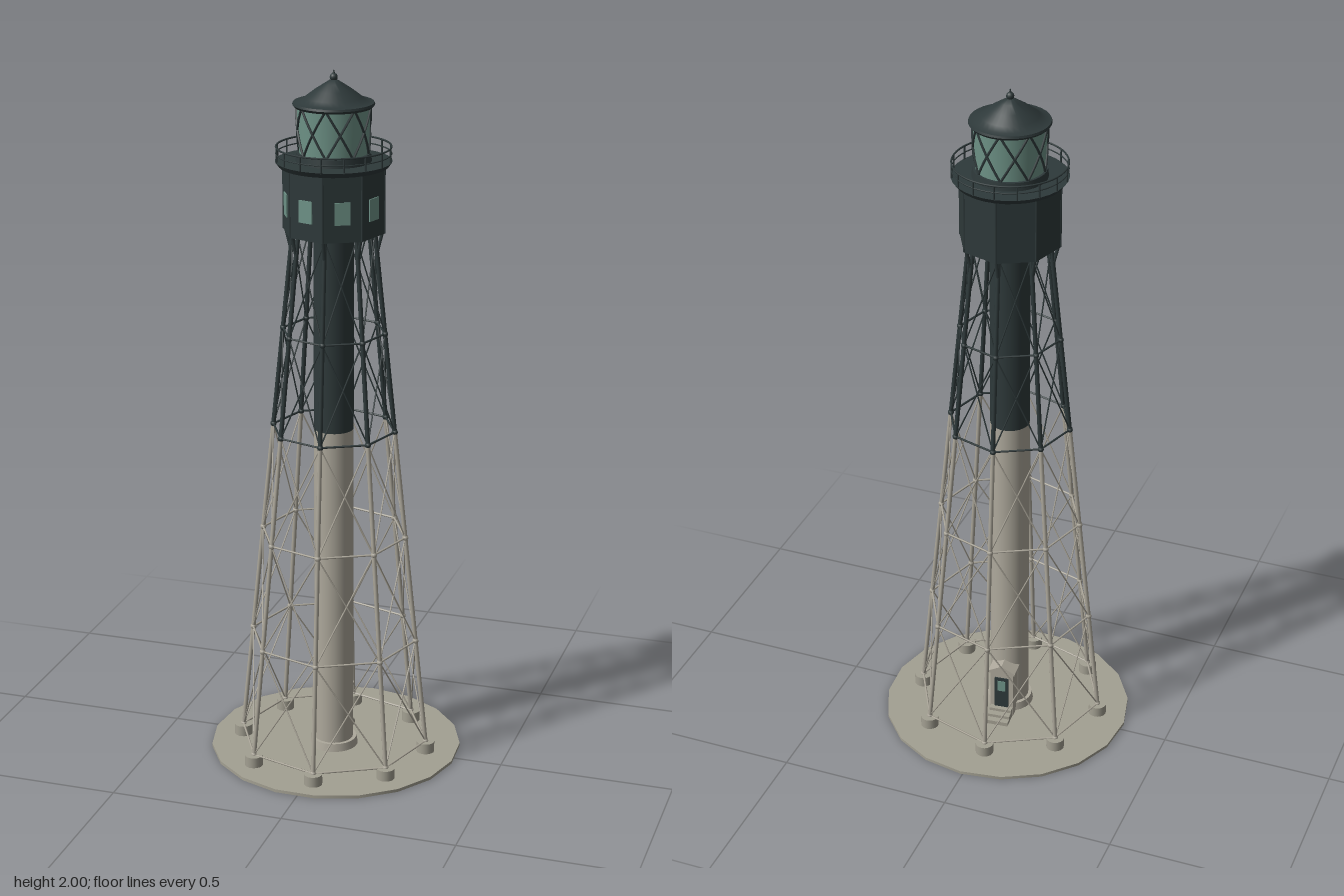
import * as THREE from 'three';
import { toCreasedNormals } from 'three/addons/utils/BufferGeometryUtils.js';

const mat = (name, color) => {
  const m = new THREE.MeshStandardMaterial({ color });
  m.name = name;
  return m;
};

export function createModel() {
  const sand = mat('ground sand', 0xa3a092);
  const pale = mat('pale paint', 0xaea99c);
  const dark = mat('dark paint', 0x2e393a);
  const glass = mat('glass', 0x6f9488);

  const model = new THREE.Group();
  model.name = 'skeletonLighthouse';
  const tower = new THREE.Group();
  tower.name = 'tower';
  tower.position.z = 0.02;
  tower.rotation.y = THREE.MathUtils.degToRad(5.3);
  model.add(tower);

  const add = (parent, name, geo, material, x = 0, y = 0, z = 0) => {
    const mesh = new THREE.Mesh(geo, material);
    mesh.name = name;
    mesh.position.set(x, y, z);
    parent.add(mesh);
    return mesh;
  };
  const subgroup = (name, parent = tower) => {
    const g = new THREE.Group();
    g.name = name;
    parent.add(g);
    return g;
  };
  // point at radius r, angle a and height y
  const polar = (r, a, y) => new THREE.Vector3(r * Math.cos(a), y, r * Math.sin(a));
  // round bar between two points
  const up = new THREE.Vector3(0, 1, 0);
  const bar = (parent, name, a, b, r, material, sides = 6) => {
    const d = b.clone().sub(a);
    const mesh = add(parent, name, new THREE.CylinderGeometry(r, r, d.length(), sides), material);
    mesh.position.copy(a).add(b).multiplyScalar(0.5);
    mesh.quaternion.setFromUnitVectors(up, d.normalize());
    return mesh;
  };
  // upright drum standing between two heights
  const drum = (parent, name, rTop, rBottom, y0, y1, sides, material) =>
    add(parent, name, new THREE.CylinderGeometry(rTop, rBottom, y1 - y0, sides), material, 0, (y0 + y1) / 2, 0);
  const lathe = (parent, name, points, material, sides = 32) => {
    const geo = new THREE.LatheGeometry(points.map(p => new THREE.Vector2(...p)), sides);
    return add(parent, name, toCreasedNormals(geo, 0.6), material);
  };

  // ground disc
  drum(model, 'ground', 0.364, 0.364, 0, 0.009, 19, sand).rotation.y = THREE.MathUtils.degToRad(8.5);

  // central stair column, pale below and dark above
  drum(tower, 'columnFoot', 0.066, 0.07, 0.009, 0.032, 24, pale);
  drum(tower, 'columnLower', 0.056, 0.056, 0.009, 0.985, 24, pale);
  drum(tower, 'columnUpper', 0.056, 0.056, 0.985, 1.56, 24, dark);

  // eight braced legs in five tiers
  const STEP = Math.PI / 4;
  const levels = [0.04, 0.355, 0.67, 0.985, 1.27, 1.555];
  const legRadius = y => 0.277 - 0.104 * y;
  const frame = subgroup('legFrame');
  for (let k = 0; k < 8; k++) {
    const a = k * STEP, b = a + STEP;
    const foot = polar(0.273, a, 0.024);
    add(frame, 'footPad', new THREE.CylinderGeometry(0.026, 0.026, 0.032, 20), sand, foot.x, foot.y, foot.z);
    levels.forEach((y, i) => {
      const material = i < 3 ? pale : dark;
      const r = legRadius(y);
      const p = polar(r, a, y), q = polar(r, b, y);
      bar(frame, 'ringStrut', p, q, 0.003, material);
      add(frame, 'joint', new THREE.SphereGeometry(0.009, 8, 6), material, p.x, p.y, p.z);
      if (i === levels.length - 1) return;
      const y1 = levels[i + 1], r1 = legRadius(y1);
      const p1 = polar(r1, a, y1), q1 = polar(r1, b, y1);
      bar(frame, 'leg', p, p1, 0.0065, material, 8);
      bar(frame, 'brace', p, q1, 0.0022, material, 5);
      bar(frame, 'brace', q, p1, 0.0022, material, 5);
    });
    // bracket under the watch room
    bar(frame, 'bracket', polar(legRadius(1.5), a, 1.5), polar(0.135, a, 1.557), 0.005, dark);
  }

  // entrance porch with gable roof, door and steps at the back
  const porch = subgroup('porch');
  add(porch, 'porchWalls', new THREE.BoxGeometry(0.07, 0.15, 0.05), pale, 0, 0.084, -0.063);
  const gable = new THREE.Shape([[-0.041, 0], [0.041, 0], [0.041, 0.006], [0, 0.028], [-0.041, 0.006]]
    .map(p => new THREE.Vector2(...p)));
  add(porch, 'porchRoof', new THREE.ExtrudeGeometry(gable, { depth: 0.055, bevelEnabled: false }), pale, 0, 0.159, -0.093);
  add(porch, 'door', new THREE.BoxGeometry(0.042, 0.105, 0.006), dark, 0, 0.09, -0.089);
  add(porch, 'doorPane', new THREE.BoxGeometry(0.024, 0.035, 0.004), glass, 0, 0.115, -0.092);
  for (let i = 0; i < 3; i++) {
    const h = 0.03 - i * 0.009;
    add(porch, 'step', new THREE.BoxGeometry(0.066, h, 0.019), sand, 0, 0.009 + h / 2, -0.0965 - i * 0.019);
  }

  // octagonal watch room with windows on the four front sides
  const room = subgroup('watchRoom');
  const walls = new THREE.CylinderGeometry(0.142, 0.142, 0.185, 8).toNonIndexed();
  walls.computeVertexNormals();
  add(room, 'roomWalls', walls, dark, 0, 1.6475, 0);
  for (let k = 0; k < 4; k++) {
    const a = (k + 0.5) * STEP;
    const p = polar(0.1315, a, 1.635);
    add(room, 'window', new THREE.BoxGeometry(0.043, 0.062, 0.006), glass, p.x, p.y, p.z).rotation.y = Math.PI / 2 - a;
  }
  for (let k = 0; k < 8; k++) {
    bar(room, 'cornerTrim', polar(0.141, k * STEP, 1.556), polar(0.141, k * STEP, 1.74), 0.003, dark);
  }

  // gallery deck and railing
  const gallery = subgroup('gallery');
  drum(gallery, 'deck', 0.16, 0.15, 1.738, 1.752, 32, dark);
  [[1.772, 0.0018], [1.791, 0.0026]].forEach(([y, t]) => {
    add(gallery, 'rail', new THREE.TorusGeometry(0.157, t, 6, 48), dark, 0, y, 0).rotation.x = Math.PI / 2;
  });
  for (let k = 0; k < 16; k++) {
    const a = k * STEP / 2;
    bar(gallery, 'railPost', polar(0.157, a, 1.75), polar(0.157, a, 1.791), 0.0026, dark);
  }

  // lantern with a diamond lattice
  const lantern = subgroup('lantern');
  drum(lantern, 'lanternBase', 0.101, 0.104, 1.75, 1.775, 32, dark);
  drum(lantern, 'lanternGlass', 0.1, 0.094, 1.775, 1.905, 32, glass);
  for (let k = 0; k < 8; k++) {
    for (const dir of [-1, 1]) {
      const points = [];
      for (let i = 0; i <= 6; i++) {
        const t = i / 6;
        points.push(polar(0.096 + 0.006 * t, (k + dir * t) * STEP, 1.773 + 0.134 * t));
      }
      add(lantern, 'latticeBar', new THREE.TubeGeometry(new THREE.CatmullRomCurve3(points), 8, 0.0036, 5), dark);
    }
  }

  // flared roof with ball and spike
  lathe(lantern, 'roof', [[0, 1.9], [0.106, 1.9], [0.112, 1.907], [0.11, 1.913], [0.094, 1.915],
    [0.078, 1.926], [0.052, 1.946], [0.026, 1.963], [0.012, 1.972], [0, 1.974]], dark);
  add(lantern, 'finialBall', new THREE.SphereGeometry(0.011, 14, 10), dark, 0, 1.98, 0);
  drum(lantern, 'finialSpike', 0.001, 0.005, 1.984, 2, 10, dark);

  return model;
}
